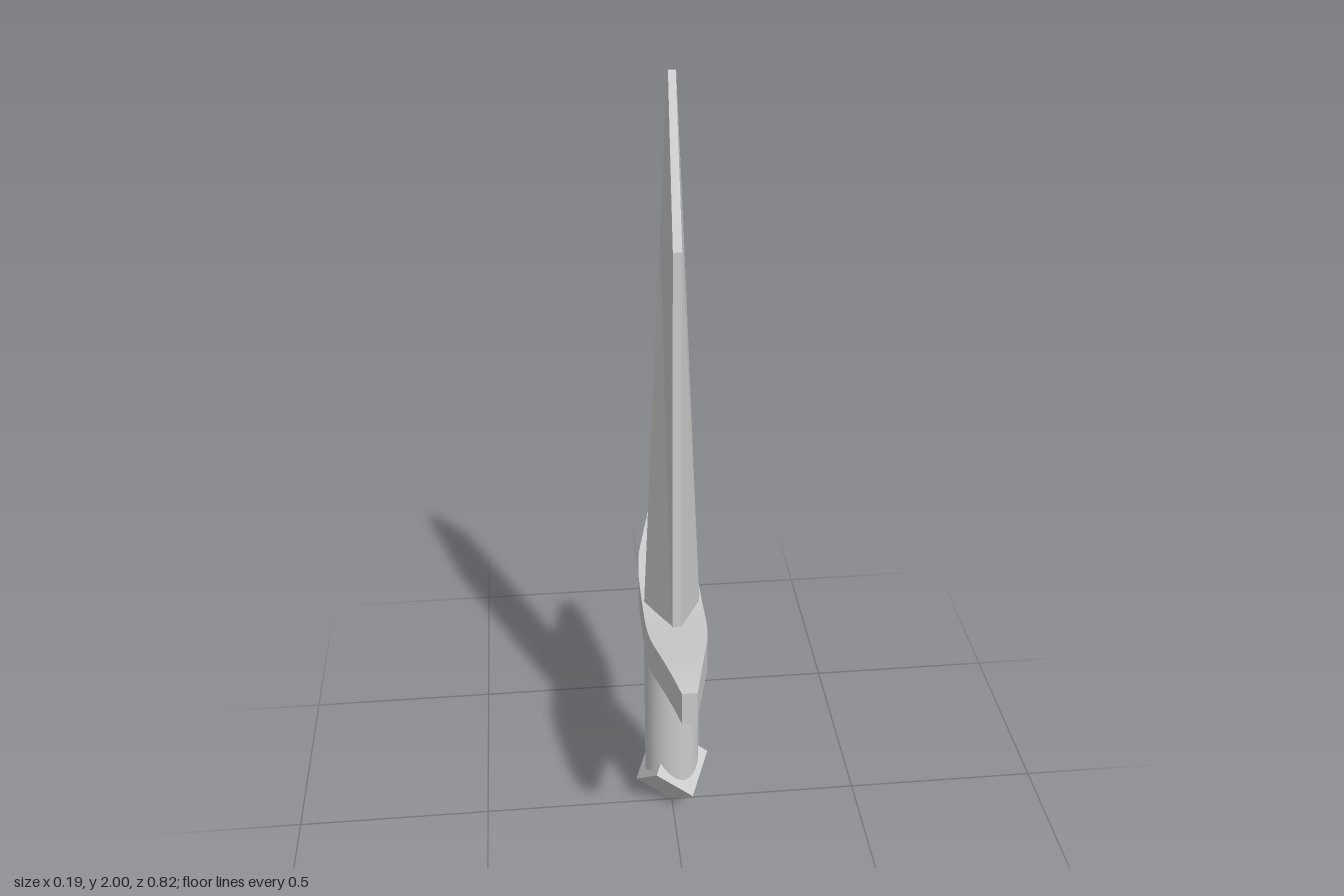
import * as THREE from 'three';

const grey = new THREE.MeshStandardMaterial({ color: 0xcccccc });
const flatGrey = new THREE.MeshStandardMaterial({ color: 0xcccccc, flatShading: true });

function part(name, geometry, material = grey) {
  const mesh = new THREE.Mesh(geometry, material);
  mesh.name = name;
  return mesh;
}

// Blade: hexagonal sections [height, ridge half thickness, edge half thickness, half width]
function bladeGeometry() {
  const sections = [
    [0.61, 0.072, 0.011, 0.122],
    [1.65, 0.026, 0.01, 0.122],
    [2.0, 0.009, 0.008, 0.002],
  ];
  const positions = [];
  const index = [];
  for (const [y, r, e, w] of sections) {
    for (const [x, z] of [[r, 0], [e, w], [-e, w], [-r, 0], [-e, -w], [e, -w]]) positions.push(x, y, z);
  }
  for (let s = 0; s < sections.length - 1; s++) {
    for (let i = 0; i < 6; i++) {
      const j = (i + 1) % 6;
      const a = s * 6 + i, b = a + 6, c = s * 6 + 6 + j, d = s * 6 + j;
      index.push(a, b, c, a, c, d);
    }
  }
  // End caps
  const top = (sections.length - 1) * 6;
  for (let i = 1; i < 5; i++) {
    index.push(top, top + i + 1, top + i);
    index.push(0, i, i + 1);
  }
  const geometry = new THREE.BufferGeometry();
  geometry.setAttribute('position', new THREE.Float32BufferAttribute(positions, 3));
  geometry.setIndex(index);
  const flat = geometry.toNonIndexed();
  flat.computeVertexNormals();
  return flat;
}

// Crossguard: a bar along z, tapered toward its ends and swept upward
function guardGeometry() {
  const geometry = new THREE.BoxGeometry(2, 0.095, 0.82, 1, 1, 32);
  const p = geometry.attributes.position;
  for (let i = 0; i < p.count; i++) {
    const z = Math.abs(p.getZ(i));
    const lift = 0.036 * THREE.MathUtils.smoothstep(z, 0.03, 0.37);
    const thin = 1 - 0.08 * THREE.MathUtils.smoothstep(z, 0.1, 0.4);
    // Nearly parallel in the middle, rounding into a straight taper
    const t = Math.max(0, z - 0.08);
    const half = z < 0.2 ? 0.075 - 0.65 * t * t : 0.0656 - 0.227 * (z - 0.2);
    p.setX(i, p.getX(i) * half);
    p.setY(i, 0.621 + p.getY(i) * thin + lift);
  }
  geometry.computeVertexNormals();
  return geometry;
}

// Pommel: a cube standing on one corner, slightly stretched upward
function pommelGeometry() {
  const size = 0.1176;
  const geometry = new THREE.BoxGeometry(size, size, size);
  const diagonal = new THREE.Vector3(1, 1, 1).normalize();
  geometry.applyQuaternion(new THREE.Quaternion().setFromUnitVectors(diagonal, new THREE.Vector3(0, 1, 0)));
  geometry.rotateY(Math.PI / 4);
  geometry.scale(1, 1.2, 1);
  geometry.translate(0, 0.1225, 0);
  return geometry;
}

export function createModel() {
  const dagger = new THREE.Group();
  dagger.name = 'dagger';

  const grip = new THREE.CylinderGeometry(0.071, 0.071, 0.49, 32);
  grip.translate(0, 0.365, 0);

  dagger.add(
    part('blade', bladeGeometry(), flatGrey),
    part('crossguard', guardGeometry()),
    part('grip', grip),
    part('pommel', pommelGeometry(), flatGrey),
  );
  return dagger;
}
